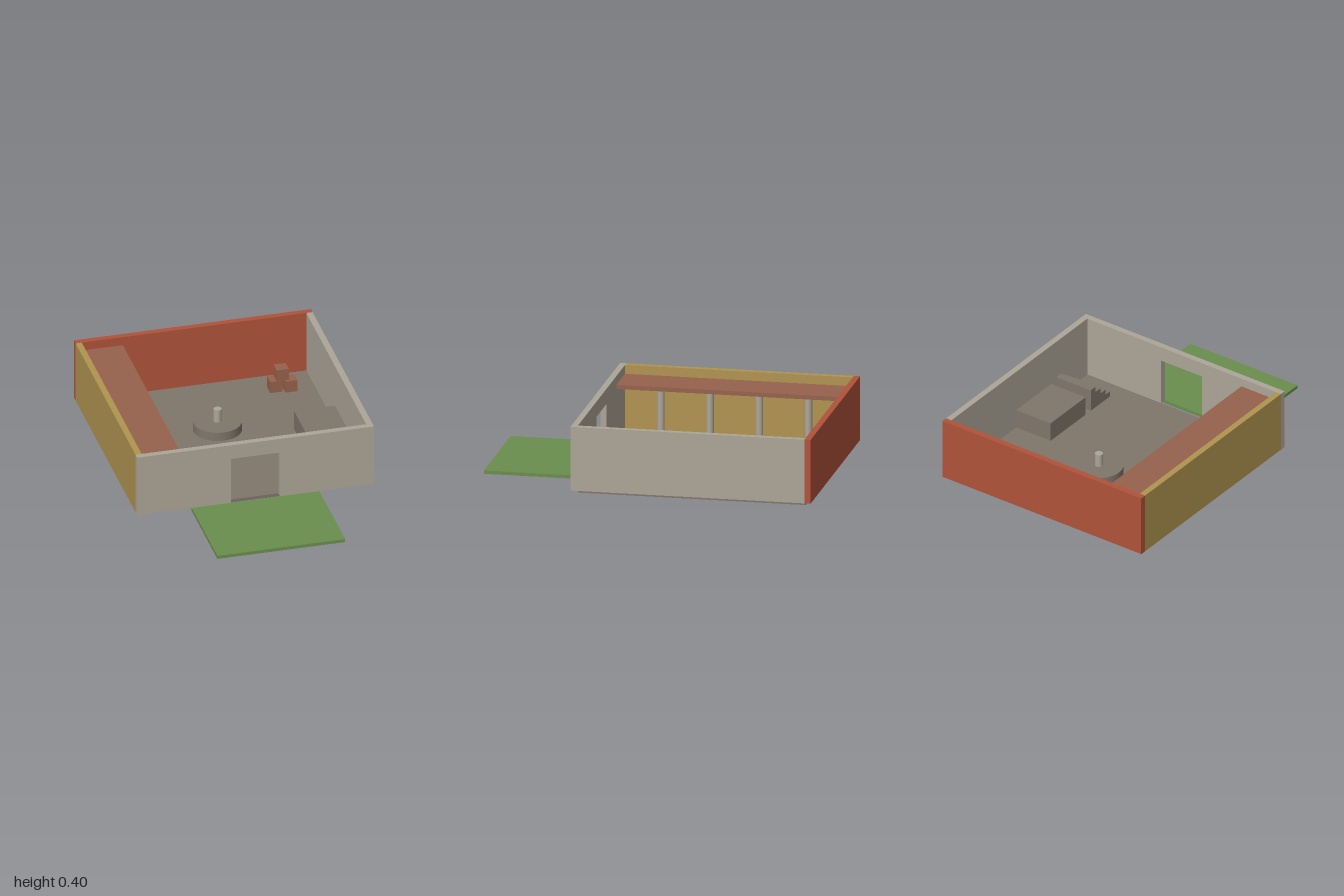
import * as THREE from 'three';

export function createModel() {
  const model = new THREE.Group();
  model.name = 'courtyard';

  const mat = (name, color) => {
    const m = new THREE.MeshStandardMaterial({ color });
    m.name = name;
    return m;
  };
  const plaster = mat('plaster', 0xada598);
  const stone = mat('stone', 0x80766b);
  const redClay = mat('red clay', 0xb0533a);
  const ochre = mat('ochre', 0xb09450);
  const wood = mat('wood', 0x96624c);
  const grass = mat('grass', 0x6b8e4e);

  const add = (name, geometry, material) => {
    const mesh = new THREE.Mesh(geometry, material);
    mesh.name = name;
    model.add(mesh);
    return mesh;
  };
  // Box from minimum and maximum corners
  const box = (name, material, [x0, y0, z0], [x1, y1, z1]) =>
    add(name, new THREE.BoxGeometry(x1 - x0, y1 - y0, z1 - z0), material)
      .position.set((x0 + x1) / 2, (y0 + y1) / 2, (z0 + z1) / 2);
  // Upright cylinder between two heights
  const column = (name, material, r, x, z, y0, y1, sides = 24) =>
    add(name, new THREE.CylinderGeometry(r, r, y1 - y0, sides), material)
      .position.set(x, (y0 + y1) / 2, z);

  const F = 0.02;   // floor level
  const T = 0.403;  // wall top
  const W = 0.71;   // outer half width
  const I = 0.673;  // inner half width
  const BACK = -0.963, FRONT = 0.383, OUT = 0.42;

  // Ground
  box('floor', stone, [-I, 0, BACK], [I, F, FRONT]);
  box('lawn', grass, [-0.383, 0, OUT], [0.383, F, 1]);

  // Walls
  box('backWall', redClay, [-W, F, -1], [W, T, BACK]);
  box('leftWall', plaster, [I, F, BACK], [W, T, FRONT]);
  box('rightWall', ochre, [-W, F, BACK], [-I, T, FRONT]);

  // Front wall with a doorway open at the bottom
  const D = 0.146, H = 0.312;
  const outline = new THREE.Shape([
    [-W, F], [-D, F], [-D, H], [D, H], [D, F], [W, F], [W, T], [-W, T],
  ].map(([x, y]) => new THREE.Vector2(x, y)));
  add('frontWall', new THREE.ExtrudeGeometry(outline, { depth: OUT - FRONT, bevelEnabled: false }), plaster)
    .position.z = FRONT;

  // Raised gallery on posts
  box('gallery', wood, [-I, 0.325, BACK], [-0.427, 0.35, FRONT]);
  for (let i = 0; i < 4; i++) column('galleryPost', plaster, 0.022, -0.466, -0.745 + i * 0.291, F, 0.325);

  // Fountain
  column('fountainBasin', stone, 0.143, 0, -0.435, F, 0.075, 48);
  column('fountainSpout', plaster, 0.024, 0, -0.435, 0.075, 0.155);

  // Platform and stairs by the side wall
  box('platform', stone, [0.428, F, -0.32], [I, 0.14, 0.025]);
  for (let i = 0; i < 4; i++) {
    const z = 0.077 + i * 0.048;
    box('stair', stone, [0.428, F, z], [I, 0.16 - i * 0.035, z + 0.048]);
  }

  // Crates: two with one stacked on top, and one by the entrance
  const S = 0.073;
  for (const [x, y, z] of [[0.403, F, -0.832], [0.488, F, -0.815], [0.441, F + S, -0.832], [-0.362, F, 0.21]])
    box('crate', wood, [x, y, z], [x + S, y + S, z + S]);

  return model;
}
